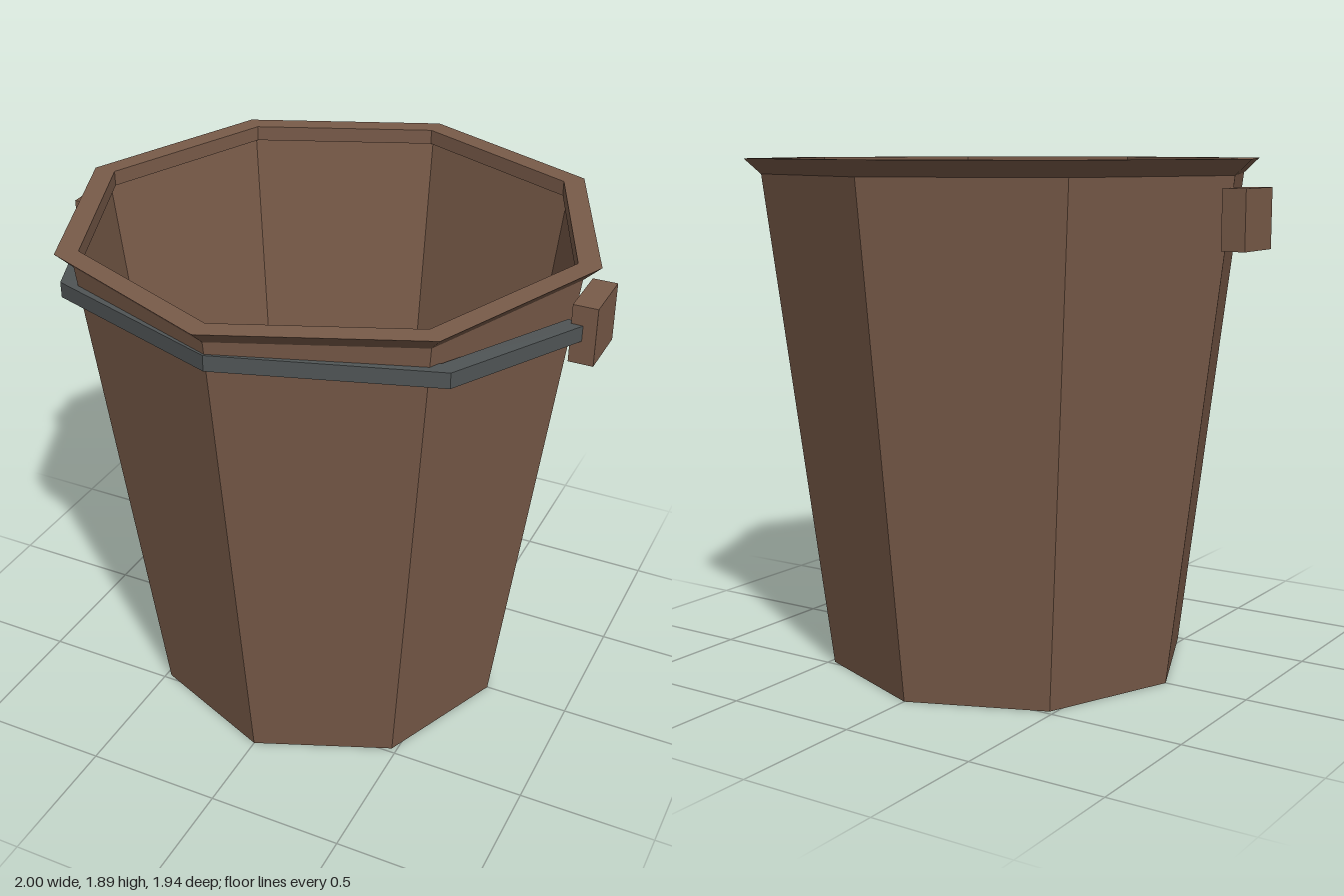
import * as THREE from 'three';

const wood = new THREE.MeshStandardMaterial({ color: 0x795b49, flatShading: true, side: THREE.DoubleSide });
wood.name = 'brown wood';
const iron = new THREE.MeshStandardMaterial({ color: 0x505556, flatShading: true, side: THREE.DoubleSide });
iron.name = 'grey iron';

const SIDES = 8;

function add(parent, name, geometry, material, x = 0, y = 0, z = 0) {
  const mesh = new THREE.Mesh(geometry, material);
  mesh.name = name;
  mesh.position.set(x, y, z);
  parent.add(mesh);
  return mesh;
}

// Flat bar swept along a path; every joint is a rectangle spread along its outward direction
function barGeometry(joints, halfWidth, halfHeight) {
  const positions = [], index = [];
  for (const { p, out } of joints) {
    const len = Math.hypot(out[0], out[1]);
    for (const [u, v] of [[1, -1], [1, 1], [-1, 1], [-1, -1]]) {
      positions.push(
        p[0] + out[0] / len * u * halfWidth,
        p[1] + v * halfHeight,
        p[2] + out[1] / len * u * halfWidth);
    }
  }
  const last = (joints.length - 1) * 4;
  for (let i = 0; i < last; i += 4) {
    for (let k = 0; k < 4; k++) {
      const a = i + k, b = i + (k + 1) % 4;
      index.push(a, b, b + 4, a, b + 4, a + 4);
    }
  }
  index.push(0, 2, 1, 0, 3, 2, last, last + 1, last + 2, last, last + 2, last + 3);
  const g = new THREE.BufferGeometry();
  g.setAttribute('position', new THREE.Float32BufferAttribute(positions, 3));
  g.setIndex(index);
  const flat = g.toNonIndexed();
  flat.computeVertexNormals();
  return flat;
}

export function createModel() {
  const bucket = new THREE.Group();
  bucket.name = 'bucket';

  // Tapered eight-sided wall, open at the top
  add(bucket, 'wall', new THREE.CylinderGeometry(0.91, 0.68, 1.84, SIDES, 1, true), wood, 0, 0.92, 0);

  // Floor with a shallow raised panel inside
  const disc = (r) => new THREE.CircleGeometry(r, SIDES).rotateX(-Math.PI / 2);
  add(bucket, 'floor', disc(0.68), wood);
  add(bucket, 'floorPanel', disc(0.645), wood, 0, 0.01, 0);

  // Flared rim
  const rim = [[0.91, 1.835], [0.97, 1.89], [0.888, 1.89], [0.888, 1.835], [0.91, 1.835]]
    .map(([r, y]) => new THREE.Vector2(r, y));
  add(bucket, 'rim', new THREE.LatheGeometry(rim, SIDES), wood);

  // Handle blocks on both sides
  for (const [name, s] of [['leftEar', 1], ['rightEar', -1]]) {
    add(bucket, name, new THREE.BoxGeometry(0.087, 0.21, 0.21), wood, s * 0.9565, 1.69, 0);
  }

  // Lowered handle bent round the front
  const half = [
    { p: [0.925, 1.697, 0.09], out: [0.91, 0.41] },
    { p: [0.683, 1.735, 0.617], out: [0.75, 0.66] },
  ];
  const mirrored = half.map(({ p, out }) => ({ p: [-p[0], p[1], p[2]], out: [-out[0], out[1]] }));
  const joints = [...half, { p: [0, 1.762, 0.88], out: [0, 1] }, ...mirrored.reverse()];
  add(bucket, 'handle', barGeometry(joints, 0.032, 0.028), iron);

  return bucket;
}
